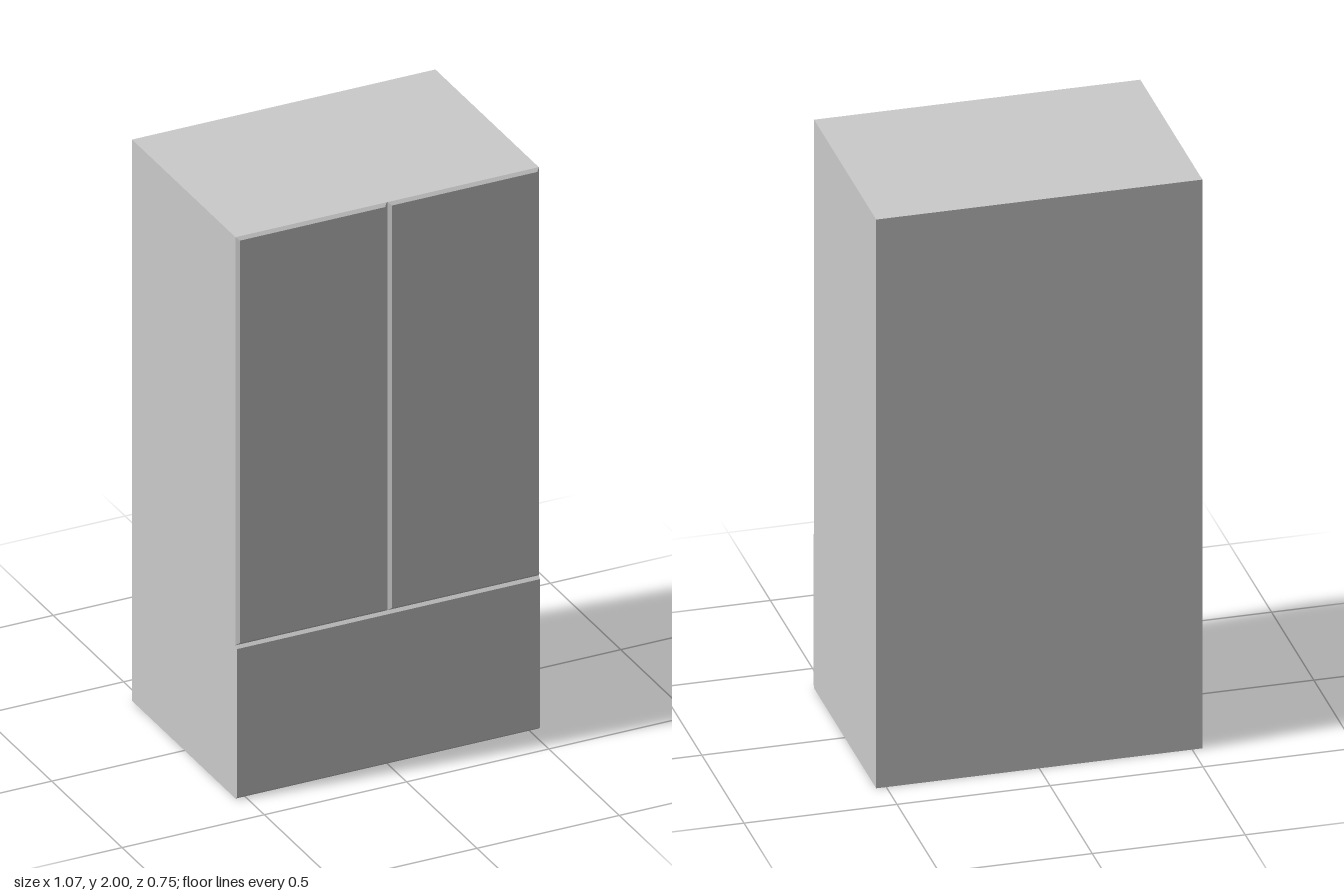
import * as THREE from 'three';

const W = 0.533;      // half width
const BACK = -0.373;
const SEAM = 0.362;   // plane where the fronts meet the cabinet
const FRONT = 0.372;

const material = new THREE.MeshStandardMaterial({ color: 0xcccccc, flatShading: true });

// Slab whose front face is inset by bevelX and bevelY, giving chamfered edges
function bevelledPanel(name, x0, x1, y0, y1, bevelX, bevelY) {
  const w = x1 - x0, h = y1 - y0;
  const geometry = new THREE.BoxGeometry(w, h, FRONT - SEAM);
  const p = geometry.attributes.position;
  for (let i = 0; i < p.count; i++) {
    if (p.getZ(i) > 0) {
      p.setX(i, Math.sign(p.getX(i)) * (w / 2 - bevelX));
      p.setY(i, Math.sign(p.getY(i)) * (h / 2 - bevelY));
    }
  }
  geometry.computeVertexNormals();
  const mesh = new THREE.Mesh(geometry, material);
  mesh.name = name;
  mesh.position.set((x0 + x1) / 2, (y0 + y1) / 2, (SEAM + FRONT) / 2);
  return mesh;
}

export function createModel() {
  const group = new THREE.Group();
  group.name = 'refrigerator';

  // Plain cabinet
  const cabinet = new THREE.Mesh(new THREE.BoxGeometry(2 * W, 2, SEAM - BACK), material);
  cabinet.name = 'cabinet';
  cabinet.position.set(0, 1, (SEAM + BACK) / 2);
  group.add(cabinet);

  // Pair of upper doors, separated by a V groove
  group.add(bevelledPanel('leftDoor', 0.002, W, 0.546, 2, 0.01, 0.01));
  group.add(bevelledPanel('rightDoor', -W, -0.002, 0.546, 2, 0.01, 0.01));

  // Freezer drawer, chamfered along top and bottom only
  group.add(bevelledPanel('freezerDrawer', -W, W, 0, 0.546, 0.001, 0.009));

  return group;
}
